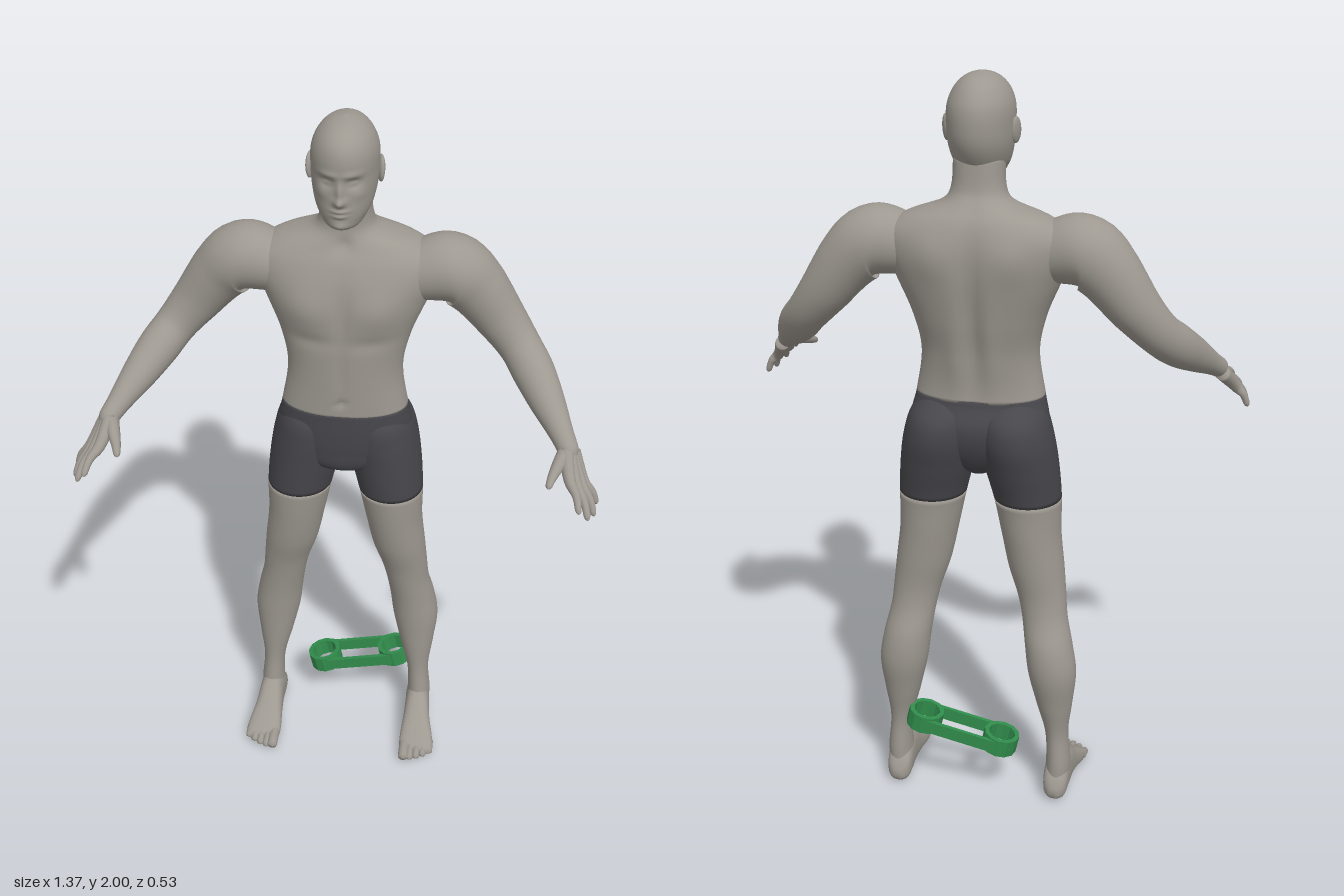
import * as THREE from 'three';

const mat = (name, color) => Object.assign(new THREE.MeshStandardMaterial({ color }), { name });

// Smooth closed skin over a list of equal-sized rings, capped at both ends
function skin(rings, flip) {
  const n = rings[0].length, pos = [], idx = [];
  const tri = (a, b, c) => (flip ? idx.push(a, c, b) : idx.push(a, b, c));
  rings.forEach(r => r.forEach(p => pos.push(p.x, p.y, p.z)));
  const last = (rings.length - 1) * n, c0 = rings.length * n;
  for (const r of [rings[0], rings[rings.length - 1]]) {
    const c = r.reduce((s, p) => s.add(p), new THREE.Vector3()).divideScalar(n);
    pos.push(c.x, c.y, c.z);
  }
  for (let j = 0; j < n; j++) {
    const k = (j + 1) % n;
    for (let a = 0; a < last; a += n) {
      tri(a + j, a + n + j, a + k);
      tri(a + k, a + n + j, a + n + k);
    }
    tri(c0, j, k);
    tri(c0 + 1, last + k, last + j);
  }
  const g = new THREE.BufferGeometry();
  g.setAttribute('position', new THREE.Float32BufferAttribute(pos, 3));
  g.setIndex(idx);
  g.computeVertexNormals();
  return g;
}

// Hermite interpolation of section rows by their first column
function sectionAt(rows, h) {
  let i = 0;
  while (i < rows.length - 2 && h > rows[i + 1][0]) i++;
  const slope = (k, c) => {
    const a = rows[Math.max(k - 1, 0)], b = rows[Math.min(k + 1, rows.length - 1)];
    return (b[c] - a[c]) / (b[0] - a[0]);
  };
  const A = rows[i], B = rows[i + 1], d = B[0] - A[0], t = (h - A[0]) / d, t2 = t * t, t3 = t2 * t;
  return A.map((v, c) => (2 * t3 - 3 * t2 + 1) * v + (t3 - 2 * t2 + t) * d * slope(i, c)
    + (3 * t2 - 2 * t3) * B[c] + (t3 - t2) * d * slope(i + 1, c));
}

// Loft of rows [height, centreX, halfWidth, front, back]; bumps: [x, y, sizeX, sizeY, amount, side]
function loft(rows, from, to, { steps = 40, n = 48, s = 1, bumps = [], power = 1, lying = false } = {}) {
  const rings = [];
  for (let i = 0; i <= steps; i++) {
    const h = from + (to - from) * i / steps;
    const [, cx, hw, f, b] = sectionAt(rows, h);
    const ring = [];
    for (let j = 0; j < n; j++) {
      const a = j / n * Math.PI * 2, c = Math.cos(a), q = Math.sin(a);
      const x = s * cx + hw * Math.sign(c) * Math.abs(c) ** power;
      let z = (f + b) / 2 + (f - b) / 2 * Math.sign(q) * Math.abs(q) ** power;
      for (const [bx, by, sx, sy, amt, side = 1] of bumps) {
        if (q * side > 0) {
          z += side * amt * Math.abs(q) * Math.exp(-(((Math.abs(x) - bx) / sx) ** 2) - ((h - by) / sy) ** 2);
        }
      }
      ring.push(lying ? new THREE.Vector3(x, z, h) : new THREE.Vector3(x, h, z));
    }
    rings.push(ring);
  }
  return skin(rings, lying);
}

// Tapered round limb through points [x, y, z, radius] with a rounded tip
function limb(pts, s, steps = 24, n = 20) {
  const curve = new THREE.CatmullRomCurve3(pts.map(p => new THREE.Vector3(s * p[0], p[1], p[2])));
  const { normals, binormals } = curve.computeFrenetFrames(steps);
  const radii = pts.map((p, i) => [i / (pts.length - 1), p[3]]), rings = [];
  for (let i = 0; i <= steps; i++) {
    const t = i / steps, c = curve.getPoint(t);
    const uN = curve.getTangent(t), N = normals[i].clone(), B = binormals[i];
    N.addScaledVector(uN, -N.dot(uN)).normalize();
    const end = Math.max(0, 1 - (1 - t) * 9);
    const r = sectionAt(radii, t)[1] * Math.sqrt(1 - 0.96 * end * end);
    rings.push(Array.from({ length: n }, (_, j) => {
      const a = j / n * Math.PI * 2;
      return c.clone().addScaledVector(N, r * Math.cos(a)).addScaledVector(B, r * Math.sin(a));
    }));
  }
  return skin(rings, true);
}

const TORSO = [
  [0.97, 0, 0.03, -0.08, -0.17], [1.0, 0, 0.11, -0.035, -0.2], [1.06, 0, 0.172, -0.022, -0.23],
  [1.12, 0, 0.182, -0.018, -0.236], [1.18, 0, 0.17, -0.018, -0.212], [1.3, 0, 0.153, -0.014, -0.222],
  [1.4, 0, 0.172, -0.012, -0.245], [1.5, 0, 0.212, -0.014, -0.262], [1.57, 0, 0.24, -0.022, -0.265],
  [1.62, 0, 0.235, -0.038, -0.258], [1.66, 0, 0.18, -0.058, -0.243], [1.69, 0, 0.095, -0.07, -0.22],
  [1.72, 0, 0.07, -0.073, -0.2], [1.8, 0, 0.064, -0.06, -0.19],
];
const TORSO_BUMPS = [
  [0.1, 1.5, 0.07, 0.06, 0.016], [0, 1.5, 0.015, 0.09, -0.008], [0.08, 1.41, 0.06, 0.02, -0.005],
  [0, 1.32, 0.012, 0.08, -0.005], [0, 1.225, 0.009, 0.01, -0.01], [0, 1.665, 0.02, 0.018, -0.01],
  [0, 1.42, 0.025, 0.2, -0.018, -1], [0.1, 1.57, 0.05, 0.06, 0.01, -1], [0.05, 1.3, 0.025, 0.08, 0.005, -1],
];
const HEAD = [
  [1.733, 0, 0.03, -0.03, -0.12], [1.745, 0, 0.046, 0.0, -0.14], [1.765, 0, 0.06, 0.008, -0.168],
  [1.79, 0, 0.072, 0.01, -0.192], [1.83, 0, 0.081, 0.01, -0.214], [1.87, 0, 0.084, 0.011, -0.222],
  [1.92, 0, 0.083, 0.013, -0.219], [1.955, 0, 0.071, 0.002, -0.202], [1.98, 0, 0.051, -0.025, -0.177],
  [1.994, 0, 0.028, -0.06, -0.143], [2.0, 0, 0.004, -0.097, -0.105],
];
const HEAD_BUMPS = [
  [0, 1.845, 0.009, 0.026, 0.011], [0, 1.821, 0.014, 0.011, 0.016], [0.034, 1.867, 0.017, 0.013, -0.013],
  [0.033, 1.866, 0.011, 0.006, 0.006], [0.03, 1.889, 0.026, 0.009, 0.005], [0, 1.797, 0.021, 0.005, 0.007],
  [0, 1.784, 0.018, 0.005, 0.007], [0, 1.755, 0.02, 0.011, 0.006], [0.05, 1.835, 0.016, 0.014, 0.004],
];
const LEG = [
  [0.05, 0.225, 0.035, -0.1, -0.2], [0.1, 0.228, 0.034, -0.103, -0.2], [0.2, 0.222, 0.032, -0.112, -0.195],
  [0.3, 0.215, 0.05, -0.108, -0.215], [0.4, 0.208, 0.066, -0.103, -0.235], [0.48, 0.197, 0.065, -0.098, -0.231],
  [0.56, 0.182, 0.062, -0.088, -0.207], [0.62, 0.172, 0.066, -0.077, -0.2], [0.7, 0.155, 0.075, -0.056, -0.205],
  [0.8, 0.139, 0.08, -0.04, -0.212], [0.9, 0.128, 0.09, -0.03, -0.22], [1.0, 0.112, 0.098, -0.025, -0.245],
  [1.08, 0.1, 0.097, -0.022, -0.262], [1.14, 0.094, 0.084, -0.028, -0.248], [1.18, 0.09, 0.055, -0.06, -0.19],
];
// Foot rows run heel to toe: [z, centreX, halfWidth, top, sole]
const FOOT = [
  [-0.214, 0.225, 0.014, 0.045, 0.015], [-0.2, 0.225, 0.03, 0.075, 0.003], [-0.16, 0.226, 0.036, 0.115, 0],
  [-0.11, 0.228, 0.037, 0.122, 0], [-0.06, 0.23, 0.041, 0.09, 0.002], [-0.01, 0.234, 0.049, 0.057, 0],
  [0.025, 0.236, 0.05, 0.036, 0], [0.045, 0.234, 0.04, 0.024, 0.004],
];
const ARM = [
  [0.17, 1.57, -0.14, 0.075], [0.27, 1.58, -0.15, 0.092], [0.335, 1.525, -0.157, 0.08], [0.4, 1.44, -0.153, 0.066],
  [0.455, 1.375, -0.128, 0.056], [0.495, 1.33, -0.078, 0.055], [0.535, 1.285, -0.01, 0.046],
  [0.575, 1.24, 0.06, 0.032], [0.596, 1.215, 0.1, 0.027], [0.605, 1.2, 0.12, 0.024],
];
// Knuckle and tip of each finger
const FINGERS = [
  [0.604, 1.178, 0.185, 0.63, 1.135, 0.262], [0.622, 1.162, 0.18, 0.655, 1.105, 0.245],
  [0.636, 1.152, 0.165, 0.672, 1.088, 0.202], [0.642, 1.148, 0.145, 0.678, 1.09, 0.15],
];

export function createModel() {
  const model = new THREE.Group();
  const flesh = mat('skin', 0x9d9890), cloth = mat('shorts fabric', 0x47464b), band = mat('green band', 0x318c4c);
  const add = (name, geo, m, parent = model) => {
    const mesh = new THREE.Mesh(geo, m);
    mesh.name = name;
    parent.add(mesh);
    return mesh;
  };

  // Trunk and head
  add('torso', loft(TORSO, 1.18, 1.8, { steps: 70, n: 80, bumps: TORSO_BUMPS, power: 0.92 }), flesh);
  add('shortsSeat', loft(TORSO, 0.97, 1.185, { steps: 24, n: 80, power: 0.92 }), cloth);
  add('head', loft(HEAD, 1.733, 2, { steps: 80, n: 112, bumps: HEAD_BUMPS }), flesh);

  for (const s of [1, -1]) {
    const side = s > 0 ? 'left' : 'right';
    // Ear
    const ear = add(side + 'Ear', new THREE.SphereGeometry(1, 16, 12), flesh);
    ear.scale.set(0.009, 0.034, 0.02);
    ear.position.set(s * 0.087, 1.862, -0.11);
    ear.rotation.set(-0.2, s * 0.35, 0);

    // Leg, shorts leg and foot
    add(side + 'Leg', loft(LEG, 0.05, 0.9, { s, steps: 60, n: 36 }), flesh);
    add(side + 'ShortsLeg', loft(LEG, 0.9, 1.18, { s, steps: 26, n: 48 }), cloth);
    add(side + 'Foot', loft(FOOT, -0.214, 0.045, { s, steps: 30, n: 32, power: 0.8, lying: true }), flesh);
    for (let i = 0; i < 5; i++) {
      const x = 0.201 + i * 0.019, r = i ? 0.0105 : 0.015, tip = 0.078 - i * i * 0.0022;
      add(side + 'Toe' + (i + 1),
        limb([[x, 0.022, 0.0, r], [x, 0.02, tip - 0.03, r], [x, r + 0.001, tip, r]], s, 14, 12), flesh);
    }

    // Arm, fingers and thumb
    add(side + 'Arm', limb(ARM, s, 60, 32), flesh);
    FINGERS.forEach(([kx, ky, kz, tx, ty, tz], i) => {
      const mid = [(kx + tx) / 2 + 0.004, (ky + ty) / 2 + 0.006, (kz + tz) / 2, 0.0105];
      const root = [0.59 + i * 0.006, 1.218 - i * 0.005, 0.105 - i * 0.006, 0.02];
      add(side + 'Finger' + (i + 1), limb([root, [kx, ky, kz, 0.015], mid, [tx, ty, tz, 0.008]], s, 24, 12), flesh);
    });
    add(side + 'Thumb', limb([[0.59, 1.215, 0.1, 0.02], [0.572, 1.2, 0.15, 0.017],
      [0.558, 1.185, 0.185, 0.012], [0.55, 1.172, 0.215, 0.008]], s, 20, 12), flesh);
  }

  // Open band behind the ankles: two straps joined by faceted end rings
  const loop = new THREE.Group();
  loop.name = 'ankleBand';
  const circle = r => Array.from({ length: 12 }, (_, i) =>
    new THREE.Vector2(r * Math.cos(i * Math.PI / 6), r * Math.sin(i * Math.PI / 6)));
  for (const e of [-1, 1]) {
    const shape = new THREE.Shape(circle(0.05));
    shape.holes.push(new THREE.Path(circle(0.037)));
    const ring = new THREE.ExtrudeGeometry(shape, { depth: 0.05, bevelEnabled: false });
    ring.translate(0, 0, -0.025).rotateX(Math.PI / 2);
    add('bandRing', ring, band, loop).position.x = e * 0.11;
    add('bandStrap', new THREE.BoxGeometry(0.22, 0.036, 0.011), band, loop).position.z = e * 0.043;
  }
  loop.position.set(0.04, 0.193, -0.185);
  loop.rotation.z = 0.22;
  model.add(loop);
  return model;
}
